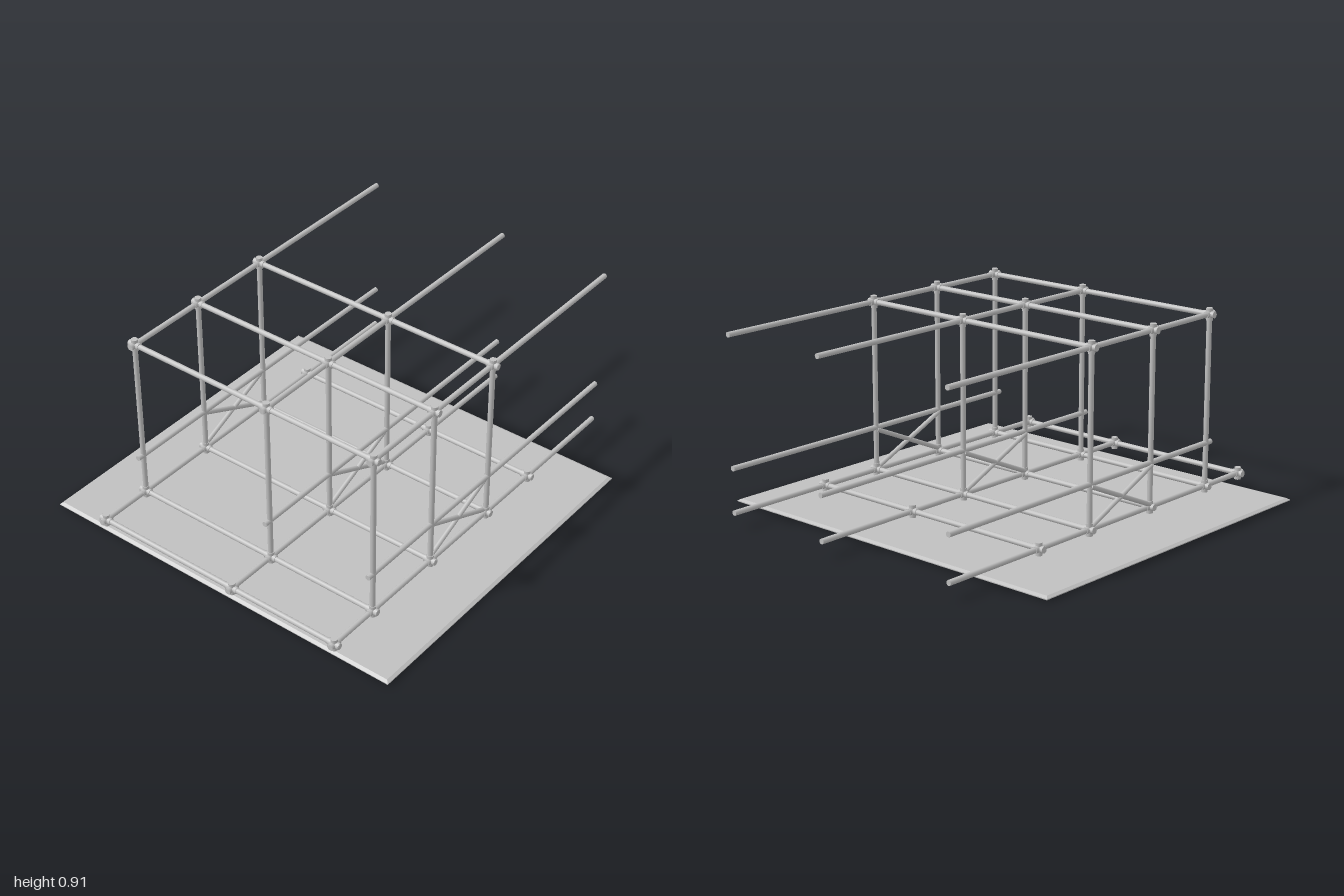
import * as THREE from 'three';

const steel = new THREE.MeshStandardMaterial({ color: 0xc0c0c0 });
steel.name = 'grey steel';

const R = 0.0125;
const columnsX = [-0.64, 0.1, 0.66];
const postZ = [0.71, 0.3, -0.12];
const LOW = 0.077, MID = 0.282, TOP = 0.885;

// Straight round bar between two points
function bar(group, name, a, b, radius = R) {
  const from = new THREE.Vector3(...a), to = new THREE.Vector3(...b);
  const dir = to.clone().sub(from);
  const mesh = new THREE.Mesh(new THREE.CylinderGeometry(radius, radius, dir.length(), 12), steel);
  mesh.name = name;
  mesh.position.copy(from).add(to).multiplyScalar(0.5);
  mesh.quaternion.setFromUnitVectors(new THREE.Vector3(0, 1, 0), dir.normalize());
  group.add(mesh);
}

// Three-way pipe fitting made of crossed sleeves
function coupler(group, x, y, z) {
  const node = new THREE.Group();
  node.name = 'coupler';
  const h = 0.029, r = 0.0155;
  bar(node, 'sleeveX', [-h, 0, 0], [h, 0, 0], r);
  bar(node, 'sleeveY', [0, -h, 0], [0, h, 0], r);
  bar(node, 'sleeveZ', [0, 0, -h], [0, 0, h], r);
  node.position.set(x, y, z);
  group.add(node);
}

// Thin ground slab with a bevelled rim
function basePlate() {
  const w = 0.925, back = -0.73, front = 0.955;
  const shape = new THREE.Shape([
    new THREE.Vector2(-w, -front), new THREE.Vector2(w, -front),
    new THREE.Vector2(w, -back), new THREE.Vector2(-w, -back),
  ]);
  const geo = new THREE.ExtrudeGeometry(shape, {
    depth: 0.004, bevelEnabled: true, bevelThickness: 0.008, bevelSize: 0.014, bevelSegments: 1,
  });
  geo.rotateX(-Math.PI / 2);
  geo.translate(0, 0.008, 0);
  const mesh = new THREE.Mesh(geo, steel);
  mesh.name = 'basePlate';
  return mesh;
}

export function createModel() {
  const model = new THREE.Group();
  model.name = 'pipeFrame';
  model.add(basePlate());

  for (const x of columnsX) {
    // Long rails, open at the back
    bar(model, 'bottomRail', [x, LOW, 1], [x, LOW, -1]);
    bar(model, 'middleRail', [x, MID, 0.745], [x, MID, -1]);
    bar(model, 'topRail', [x, TOP, 0.74], [x, TOP, -1]);

    // Uprights
    for (const z of postZ) bar(model, 'post', [x, 0.05, z], [x, 0.912, z]);

    // Crossed braces in the rear bay
    bar(model, 'braceRising', [x - 0.006, LOW + 0.01, 0.3], [x - 0.006, MID - 0.01, -0.12], 0.011);
    bar(model, 'braceFalling', [x - 0.006, MID - 0.01, 0.3], [x - 0.006, LOW + 0.01, -0.12], 0.011);
  }

  // Cross beams with fittings at each rail
  const beam = (y, z) => {
    bar(model, 'crossBeam', [-0.665, y, z], [0.69, y, z]);
    for (const x of columnsX) coupler(model, x, y, z);
  };
  for (const z of [0.97, ...postZ, -0.45]) beam(LOW, z);
  for (const z of postZ) beam(TOP, z);

  return model;
}
